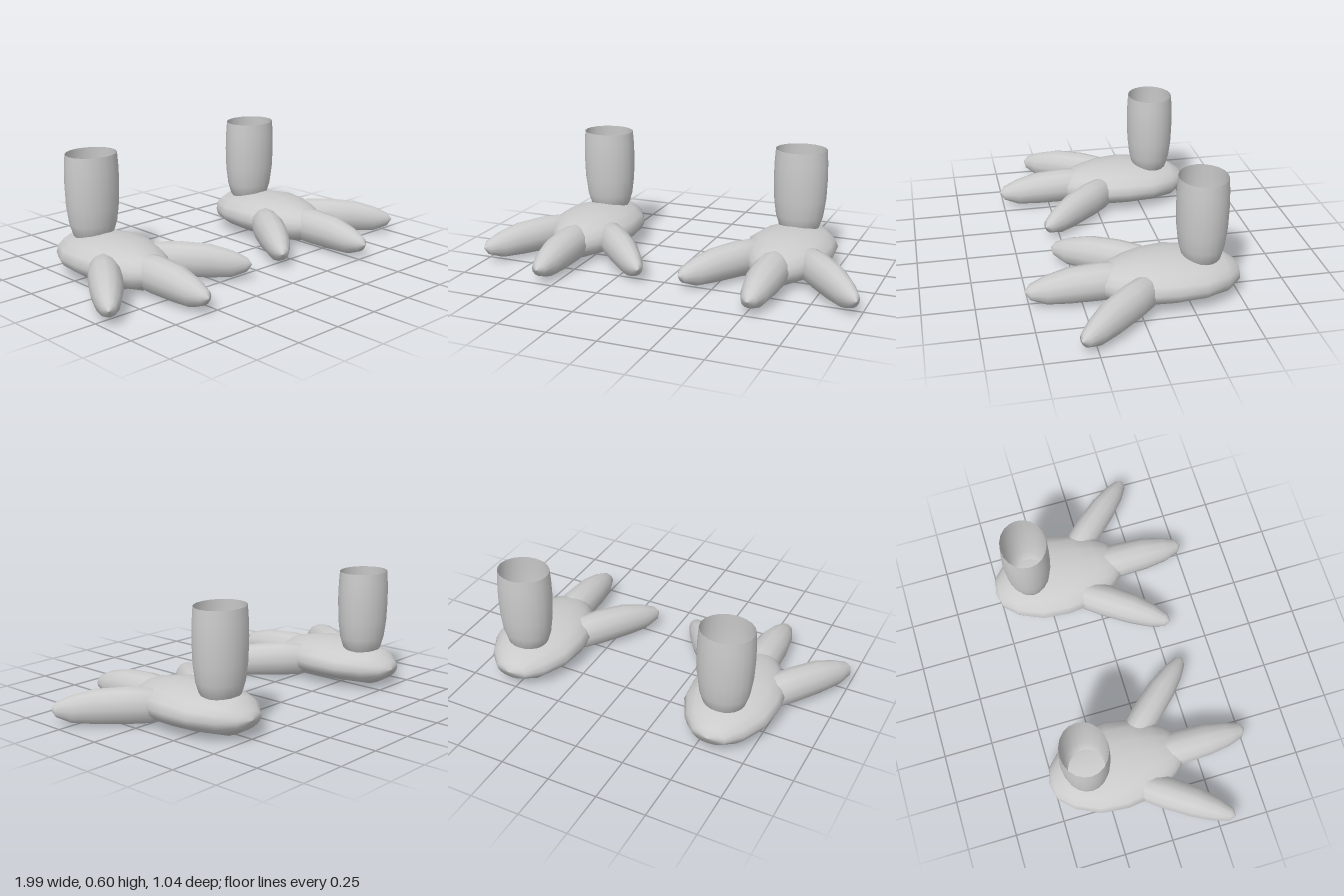
import * as THREE from 'three';

const material = new THREE.MeshStandardMaterial({ color: 0xcccccc });
const openMaterial = new THREE.MeshStandardMaterial({ color: 0xcccccc, side: THREE.DoubleSide });

// Smooth loft along +z through oval sections: [z, half width, bottom y, top y]
function loft(name, sections, sides) {
  const positions = [];
  const index = [];
  for (const [z, halfWidth, bottom, top] of sections) {
    for (let j = 0; j < sides; j++) {
      const a = (j / sides) * Math.PI * 2;
      positions.push(
        halfWidth * Math.cos(a),
        (top + bottom) / 2 + ((top - bottom) / 2) * Math.sin(a),
        z
      );
    }
  }
  for (let i = 0; i < sections.length - 1; i++) {
    for (let j = 0; j < sides; j++) {
      const k = (j + 1) % sides;
      const a = i * sides + j, b = i * sides + k;
      const c = a + sides, d = b + sides;
      index.push(a, b, c, b, d, c);
    }
  }
  const geometry = new THREE.BufferGeometry();
  geometry.setAttribute('position', new THREE.Float32BufferAttribute(positions, 3));
  geometry.setIndex(index);
  geometry.computeVertexNormals();
  const mesh = new THREE.Mesh(geometry, material);
  mesh.name = name;
  return mesh;
}

// Toe with its tip at the local origin, running back towards -z
const toeSections = [
  [-0.56, 0, 0.1, 0.1],
  [-0.53, 0.05, 0.05, 0.15],
  [-0.47, 0.08, 0.012, 0.185],
  [-0.36, 0.087, 0.008, 0.19],
  [-0.21, 0.081, 0.008, 0.18],
  [-0.1, 0.062, 0.012, 0.15],
  [-0.025, 0.036, 0.042, 0.115],
  [0, 0, 0.08, 0.08]
];

function toe(name, x, z, angle, width) {
  const mesh = loft(name, toeSections, 12);
  mesh.scale.x = width;
  mesh.position.set(x, 0, z);
  mesh.rotation.y = angle;
  return mesh;
}

function createFoot(name) {
  const foot = new THREE.Group();
  foot.name = name;

  // Rounded sole and instep
  foot.add(loft('footBody', [
    [-0.52, 0, 0.1, 0.1],
    [-0.5, 0.085, 0.055, 0.14],
    [-0.43, 0.155, 0.016, 0.187],
    [-0.31, 0.215, 0.012, 0.203],
    [-0.17, 0.23, 0.006, 0.217],
    [-0.05, 0.212, 0.002, 0.212],
    [0.04, 0.172, 0.004, 0.198],
    [0.11, 0.128, 0.012, 0.182],
    [0.17, 0.075, 0.045, 0.15],
    [0.2, 0, 0.1, 0.1]
  ], 16));

  // Three spread toes
  foot.add(toe('middleToe', 0, 0.52, 0, 1.03));
  foot.add(toe('rightToe', -0.415, 0.333, -0.607, 0.95));
  foot.add(toe('leftToe', 0.463, 0.328, 0.735, 0.88));

  // Hollow leg, open at the top with a rounded bottom
  const profile = [
    [0, 0.12], [0.065, 0.145], [0.105, 0.19], [0.124, 0.25],
    [0.136, 0.34], [0.14, 0.45], [0.138, 0.53], [0.133, 0.6]
  ].map(([r, y]) => new THREE.Vector2(r, y));
  const leg = new THREE.Mesh(new THREE.LatheGeometry(profile, 20), openMaterial);
  leg.name = 'leg';
  leg.scale.z = 0.88;
  leg.position.z = -0.327;
  foot.add(leg);

  return foot;
}

export function createModel() {
  const model = new THREE.Group();
  model.name = 'feet';
  // Both feet share one shape, set side by side
  for (const [name, x] of [['rightFoot', -0.57], ['leftFoot', 0.52]]) {
    const foot = createFoot(name);
    foot.position.x = x;
    model.add(foot);
  }
  return model;
}
